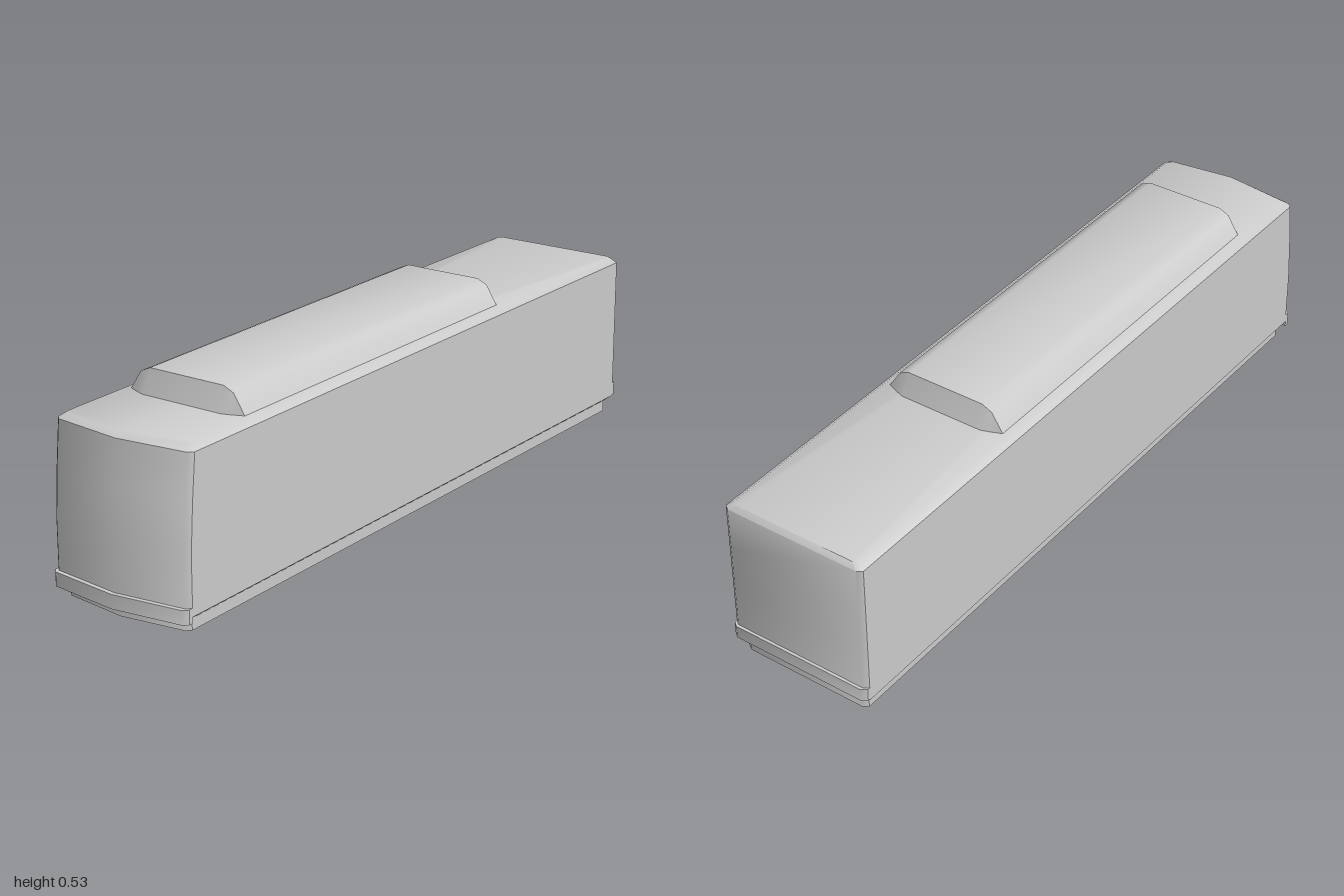
import * as THREE from 'three';
import { toCreasedNormals } from 'three/addons/utils/BufferGeometryUtils.js';

const material = new THREE.MeshStandardMaterial({ color: 0xcccccc });
const thinMaterial = new THREE.MeshStandardMaterial({ color: 0xcccccc, side: THREE.DoubleSide });

// Skin a stack of closed rings of [x, y, z] points, optionally with end caps
function loft(rings, caps = true) {
  const n = rings[0].length;
  const index = [];
  for (let r = 0; r < rings.length - 1; r++) {
    for (let i = 0; i < n; i++) {
      const a = r * n + i, b = r * n + (i + 1) % n;
      index.push(a, b, b + n, a, b + n, a + n);
    }
  }
  if (caps) {
    const t = (rings.length - 1) * n;
    for (let i = 1; i < n - 1; i++) index.push(0, i + 1, i, t, t + i, t + i + 1);
  }
  const geo = new THREE.BufferGeometry();
  geo.setAttribute('position', new THREE.Float32BufferAttribute(rings.flat(2), 3));
  geo.setIndex(index);
  return toCreasedNormals(geo, 0.7);
}

// Floor plan at height y: shallow pointed nose, square tail, bevelled corners
function plan(y, w, front, rear) {
  const nose = front - 0.024;
  return [
    [0, y, front],
    [w - 0.012, y, nose], [w, y, nose - 0.012],
    [w, y, rear + 0.01], [w - 0.014, y, rear],
    [0.014 - w, y, rear], [-w, y, rear + 0.01],
    [-w, y, nose - 0.012], [0.012 - w, y, nose],
  ];
}

export function createModel() {
  const group = new THREE.Group();
  const add = (name, geo, mat = material) => {
    const mesh = new THREE.Mesh(geo, mat);
    mesh.name = name;
    group.add(mesh);
  };

  // Main body: tucked-in sill, upright sides, leaning nose, bevelled roof edge
  add('body', loft([
    plan(0.032, 0.19, 0.972, -0.976),
    plan(0.046, 0.208, 0.988, -0.992),
    plan(0.2, 0.208, 0.988, -0.992),
    plan(0.33, 0.208, 0.979, -0.992),
    plan(0.449, 0.208, 0.967, -0.992),
    plan(0.463, 0.19, 0.95, -0.982),
  ]));

  // Thin skirt around the recessed floor, open underneath
  add('underframeSkirt', loft([
    plan(0, 0.189, 0.968, -0.975),
    plan(0.033, 0.189, 0.968, -0.975),
  ], false), thinMaterial);

  // Front bumper follows the pointed nose
  const frontBumper = (y) => [
    [0, y, 1], [0.196, y, 0.976], [0.208, y, 0.964], [0.208, y, 0.952],
    [-0.208, y, 0.952], [-0.208, y, 0.964], [-0.196, y, 0.976],
  ];
  add('frontBumper', loft([frontBumper(0.03), frontBumper(0.068)]));

  // Straight rear bumper with bevelled corners
  const rearBumper = (y) => [
    [0.208, y, -0.975], [0.208, y, -0.99], [0.194, y, -1],
    [-0.194, y, -1], [-0.208, y, -0.99], [-0.208, y, -0.975],
  ];
  add('rearBumper', loft([rearBumper(0.049), rearBumper(0.085)]));

  // Roof equipment box: bevelled profile with sloping, pushed-out ends
  const half = [[0.175, 0.463], [0.142, 0.514], [0.113, 0.527]];
  const mirror = (pts) => [...pts, ...pts.map(([x, y, z]) => [-x, y, z]).reverse()];
  const profile = (z) => mirror(half.map(([x, y]) => [x, y, z]));
  const foot = (z, d) => mirror([[0.175, 0.462, z], [0.145, 0.462, z + d * 0.6], [0.12, 0.462, z + d]]);
  add('roofUnit', loft([
    foot(-0.393, -0.021), profile(-0.393), profile(0.704), foot(0.704, 0.021),
  ], false));

  return group;
}
